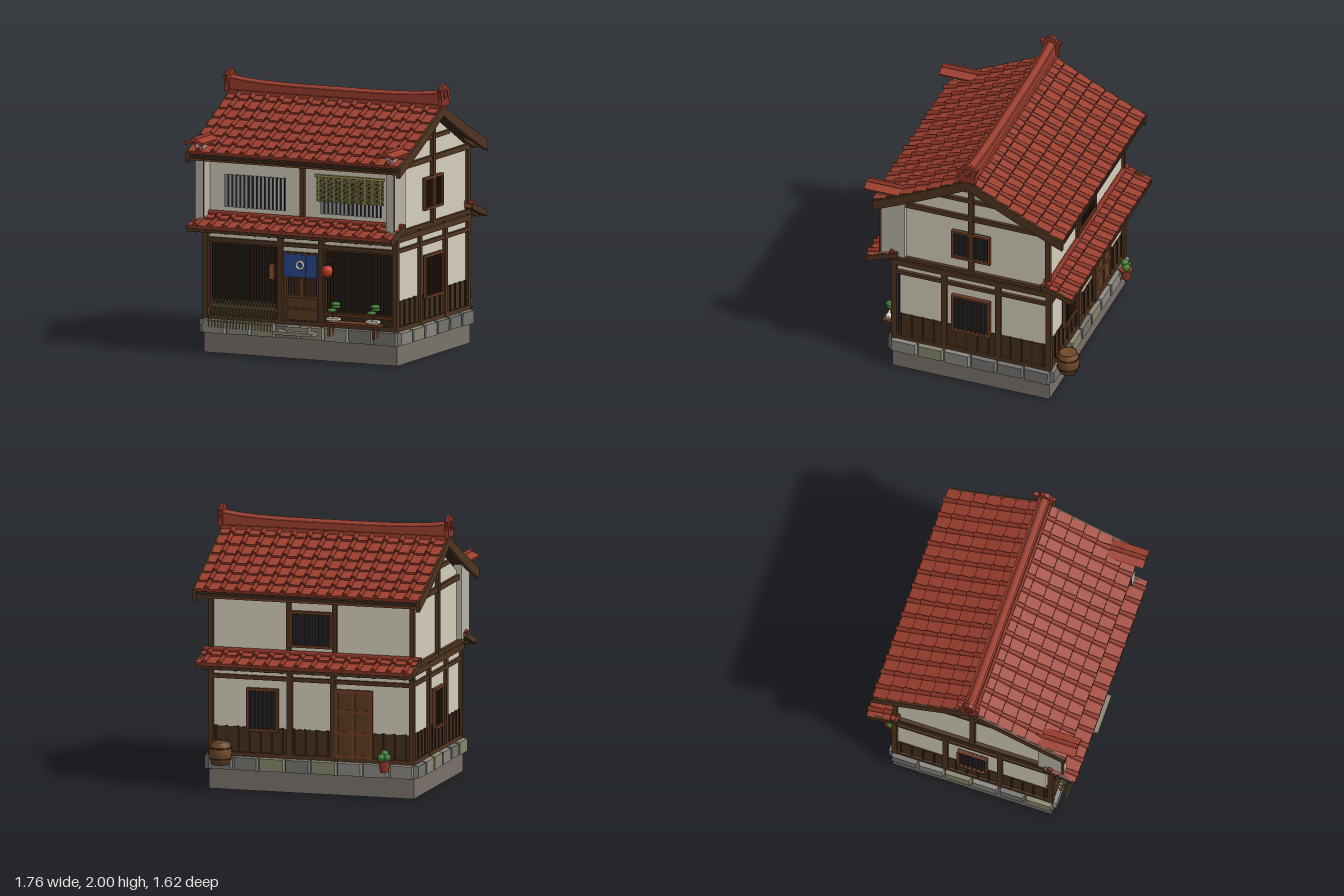
import * as THREE from 'three';
import { mergeGeometries } from 'three/addons/utils/BufferGeometryUtils.js';

const C = { tile: 0x9c3f2e, rib: 0x8a3426, wood: 0x4f3420, dark: 0x38261a, red: 0x6e3d24, cream: 0xd6cfbd, navy: 0x1c2734,
  base: 0x7a726b, bamboo: 0x8f8648, door: 0x5c3b22, white: 0xe2ddd0, green: 0x3f7a33 };
const V = (x, y, z) => new THREE.Vector3(x, y, z);

// One mesh merged from several geometries
function part(name, color, geos) {
  const g = mergeGeometries(geos.map(q => (q.index ? q.toNonIndexed() : q)));
  const m = new THREE.Mesh(g, new THREE.MeshStandardMaterial({ color, roughness: 0.85 }));
  m.name = name;
  return m;
}
// Box from its bounds
const B = (x0, x1, y0, y1, z0, z1) =>
  new THREE.BoxGeometry(x1 - x0, y1 - y0, z1 - z0).translate((x0 + x1) / 2, (y0 + y1) / 2, (z0 + z1) / 2);
// Lay a geometry whose long axis is z between two points
function span(geo, a, b) {
  const o = new THREE.Object3D();
  o.position.copy(a).add(b).multiplyScalar(0.5);
  o.lookAt(b);
  o.updateMatrix();
  return geo.applyMatrix4(o.matrix);
}
const plank = (a, b, w, h) => span(new THREE.BoxGeometry(w, h, a.distanceTo(b)), a, b);
const rod = (a, b, ra, rb = ra, n = 8) =>
  span(new THREE.CylinderGeometry(rb, ra, a.distanceTo(b), n).rotateX(Math.PI / 2), a, b);
const ball = (r, x, y, z, sy = 1) => new THREE.SphereGeometry(r, 12, 8).scale(1, sy, 1).translate(x, y, z);
// Extrude a (z, y) outline along x, centred on cx
function slab(pts, w, cx = 0) {
  const s = new THREE.Shape(pts.map(p => new THREE.Vector2(p[0], p[1])));
  return new THREE.ExtrudeGeometry(s, { depth: w, bevelEnabled: false }).translate(0, 0, -w / 2).rotateY(-Math.PI / 2).translate(cx, 0, 0);
}
const range = (n, f) => Array.from({ length: n }, (_, i) => f(i));
const both = geos => geos.concat(geos.map(g => g.clone().rotateY(Math.PI)));

// Stepped tile courses with round ribs, following f(t) -> [z, y]; both slopes
function tiles(group, name, halfW, f, rows) {
  const beds = [], ribs = [];
  for (let i = 0; i < rows; i++) {
    const [za, ya] = f(i / rows), [zb, yb] = f((i + 1) / rows);
    beds.push(plank(V(0, ya - 0.014, za), V(0, yb, zb), halfW * 2, 0.022));
    for (let k = 0; k < 14; k++) {
      const x = (k - 6.5) * 0.117;
      ribs.push(rod(V(x, ya + 0.003, za), V(x, yb + 0.015, zb + 0.006), 0.015, 0.02));
    }
  }
  group.add(part(name + 'Tiles', C.tile, both(beds)), part(name + 'Ribs', C.rib, both(ribs)));
}

// Framed window with vertical bars, facing +z, centred
function barWindow(name, w, h, n, bar = C.dark, frame = C.red) {
  const g = new THREE.Group(), x = w / 2, y = h / 2, t = 0.018;
  g.name = name;
  g.add(part('pane', C.navy, [B(-x, x, -y, y, 0, 0.008)]));
  g.add(part('bars', bar, range(n, i => {
    const c = -x + (w * (i + 0.5)) / n, b = Math.min(0.007, w / n / 4);
    return B(c - b, c + b, -y, y, 0.005, 0.02);
  })));
  if (frame) g.add(part('frame', frame, [B(-x, x, y - t, y, 0, 0.03), B(-x, x, -y, t - y, 0, 0.03),
    B(-x, t - x, -y, y, 0, 0.03), B(x - t, x, -y, y, 0, 0.03)]));
  return g;
}
function place(parent, obj, x, y, z, ry = 0) {
  obj.position.set(x, y, z);
  obj.rotation.y = ry;
  parent.add(obj);
}

export function createModel() {
  const m = new THREE.Group();
  m.name = 'townhouse';
  const H = Math.PI / 2;
  let seed = 7;
  const rnd = () => (seed = (seed * 16807) % 2147483647) / 2147483647;

  // Foundation and tapered facing stones
  m.add(part('foundation', C.base, [B(-0.78, 0.78, 0, 0.25, -0.61, 0.61)]));
  const shades = [0x8a8782, 0x74736f, 0x86866f], stones = [[], [], []];
  for (let s = 0; s < 4; s++) {
    const len = s % 2 ? 1.24 : 1.58, n = s % 2 ? 6 : 8, off = s % 2 ? 0.79 : 0.62;
    for (let i = 0; i < n; i++) {
      const w = len / n - 0.012 + rnd() * 0.014, h = 0.1 + rnd() * 0.015;
      const g = new THREE.BoxGeometry(w, h, 0.05), p = g.attributes.position;
      for (let k = 0; k < p.count; k++) if (p.getZ(k) > 0) p.setXY(k, p.getX(k) * 0.88, p.getY(k) * 0.85);
      g.computeVertexNormals();
      stones[Math.floor(rnd() * 3)].push(g.rotateZ((rnd() - 0.5) * 0.06)
        .translate(-len / 2 + (len * (i + 0.5)) / n, 0.197, off).rotateY(s * H));
    }
  }
  stones.forEach((g, i) => g.length && m.add(part('facingStones' + i, shades[i], g)));

  // Plaster storeys and gables
  m.add(part('lowerWalls', C.cream, [B(-0.76, 0.76, 0.25, 1, -0.59, 0.56), B(-0.76, 0.76, 0.83, 0.95, 0.5, 0.585)]));
  m.add(part('upperWalls', C.cream, [slab([[-0.59, 0.95], [0.59, 0.95], [0.59, 1.46], [0, 1.77], [-0.59, 1.46]], 1.52)]));

  // Posts and beams
  const fr = [];
  for (const sx of [-1, 1]) {
    for (const z of [-0.6, -0.21, 0.21, 0.6]) fr.push(B(sx * 0.765 - 0.02, sx * 0.765 + 0.02, 0.25, 0.98, z - 0.02, z + 0.02));
    const bar = (y, h, z, d = 0.018) => fr.push(B(sx * 0.765 - d, sx * 0.765 + d, y - h, y + h, -z, z));
    bar(0.265, 0.015, 0.61); bar(0.84, 0.015, 0.6); bar(0.925, 0.022, 0.62, 0.022); bar(0.972, 0.014, 0.62, 0.022);
    bar(1.45, 0.02, 0.6); bar(1.605, 0.015, 0.27); bar(1.715, 0.03, 0.08);
    fr.push(B(sx * 0.77 - 0.02, sx * 0.77 + 0.02, 0.97, 1.78, -0.02, 0.02));
    for (const z of [-0.595, 0.595]) fr.push(B(sx * 0.765 - 0.018, sx * 0.765 + 0.018, 0.97, 1.45, z - 0.018, z + 0.018));
  }
  for (const z of [-0.6, 0.6]) {
    for (const x of [-0.165, 0.165]) fr.push(B(x - 0.02, x + 0.02, 0.25, 0.94, z - 0.02, z + 0.02));
    for (const [y, h] of [[0.265, 0.015], [0.835, 0.015], [0.92, 0.022], [1.425, 0.015]])
      fr.push(B(-0.77, 0.77, y - h, y + h, z - 0.015, z + 0.015));
  }
  for (const x of [-0.175, 0.175]) fr.push(B(x - 0.018, x + 0.018, 1, 1.44, -0.61, -0.58));
  fr.push(B(-0.01, 0.03, 1, 1.43, 0.58, 0.61));
  m.add(part('timberFrame', C.wood, fr));

  // Boarded wainscot with battens on the sides and back
  const boards = [B(-0.767, 0.767, 0.27, 0.465, -0.597, 0.57)], battens = [];
  for (let i = 0; i < 14; i++) for (const s of [-1, 1])
    battens.push(B(s * 0.768 - 0.007, s * 0.768 + 0.007, 0.27, 0.47, -0.56 + i * 0.085, -0.548 + i * 0.085));
  for (let i = 0; i < 18; i++) battens.push(B(-0.72 + i * 0.085, -0.708 + i * 0.085, 0.27, 0.47, -0.607, -0.59));
  m.add(part('wainscot', 0x472f1d, boards), part('battens', C.dark, battens));

  // Main roof
  const main = t => [0.74 * t, 1.845 - 0.36 * t - 0.04 * t * (1 - t)];
  tiles(m, 'mainRoof', 0.85, main, 7);
  const ts = range(9, i => i / 8);
  const band = (f, top, low) => [...ts.map(f).map(p => [p[0], p[1] - top]), ...ts.map(f).reverse().map(p => [p[0], p[1] - low])];
  m.add(part('roofDeck', C.dark, both([slab(band(main, 0.02, 0.045), 1.68)])));
  m.add(part('bargeBoards', C.wood, both([slab(band(main, 0.0, 0.08), 0.03, 0.85), slab(band(main, 0.0, 0.08), 0.03, -0.85)])));
  const pent = t => [0.56 + 0.24 * t, 1.035 - 0.085 * t];
  const rafters = range(14, i => (i - 6.5) * 0.117).flatMap(x => [plank(V(x, 1.505, 0.56), V(x, 1.435, 0.72), 0.025, 0.025),
    plank(V(x, 0.985, 0.57), V(x, 0.915, 0.78), 0.022, 0.022)]);
  m.add(part('rafters', C.wood, both(rafters)));
  m.add(part('eaveBoards', C.red, both([B(-0.84, 0.84, 1.425, 1.46, 0.715, 0.73)])));

  // Upswept ridge with end ornaments
  const sweep = x => 1.9 + 0.035 * Math.pow(Math.abs(x) / 0.86, 4);
  const xs = range(17, i => -0.86 + i * 0.1075);
  const rs = new THREE.Shape([V(-0.86, 1.81, 0), V(0.86, 1.81, 0), ...xs.slice().reverse().map(x => V(x, sweep(x), 0))]);
  m.add(part('ridge', C.tile, [
    new THREE.ExtrudeGeometry(rs, { depth: 0.08, bevelEnabled: false }).translate(0, 0, -0.04),
    new THREE.TubeGeometry(new THREE.CatmullRomCurve3(xs.map(x => V(x, sweep(x) - 0.01, 0))), 32, 0.032, 8),
    B(-0.86, 0.86, 1.815, 1.85, -0.055, 0.055)]));
  const half = [[0.07, 1.84], [0.06, 1.89], [0.085, 1.96], [0.05, 1.955], [0.035, 1.985], [0, 2]];
  const outline = [...half, ...half.slice(0, 5).reverse().map(p => [-p[0], p[1]])];
  m.add(part('ridgeOrnaments', C.rib, [-0.862, 0.862].flatMap(x => [slab(outline, 0.03, x),
    new THREE.TorusGeometry(0.03, 0.007, 6, 16).rotateY(H).translate(x + Math.sign(x) * 0.014, 1.925, 0)])));

  // Pent roofs, front and back
  tiles(m, 'pentRoof', 0.82, pent, 2);
  m.add(part('pentDeck', C.wood, both([slab(band(pent, 0.018, 0.038), 1.62), slab(band(pent, -0.005, 0.04), 0.025, 0.815),
    slab(band(pent, -0.005, 0.04), 0.025, -0.815), B(-0.82, 0.82, 0.918, 0.942, 0.775, 0.795)])));
  m.add(part('pentTopTiles', C.rib, both([rod(V(-0.82, 1.03, 0.605), V(0.82, 1.03, 0.605), 0.02)])));

  // Projecting fire walls with little tiled caps
  for (const s of [-1, 1]) {
    const g = new THREE.Group(), x = s * 0.77;
    g.name = s > 0 ? 'leftFireWall' : 'rightFireWall';
    g.add(part('fin', 0xb9b5a8, [B(x - 0.03, x + 0.03, 0.99, 1.56, 0.51, 0.71)]));
    g.add(part('finEdge', C.wood, [B(x - 0.033, x + 0.033, 1, 1.45, 0.69, 0.708)]));
    g.add(part('cap', C.tile, [-1, 1].map(e => new THREE.BoxGeometry(0.08, 0.022, 0.34).rotateZ(-e * 0.4).translate(x + e * 0.034, 1.573, 0.64))));
    g.add(part('capRidge', C.rib, [rod(V(x, 1.592, 0.47), V(x, 1.592, 0.81), 0.018)]));
    m.add(g);
  }

  // Windows
  place(m, barWindow('leftUpperWindow', 0.3, 0.24, 9), 0.762, 1.2, 0, H);
  place(m, barWindow('leftLowerWindow', 0.3, 0.32, 9), 0.766, 0.59, 0, H);
  place(m, barWindow('rightLowerWindow', 0.23, 0.3, 7), -0.766, 0.58, 0, -H);
  place(m, barWindow('backUpperWindow', 0.33, 0.27, 10), 0, 1.21, -0.592, Math.PI);
  place(m, barWindow('backLowerWindow', 0.24, 0.32, 8), 0.37, 0.6, -0.597, Math.PI);
  place(m, barWindow('frontUpperWindowRight', 0.49, 0.24, 15, C.cream, null), -0.375, 1.2, 0.588);
  place(m, barWindow('frontUpperWindowLeft', 0.49, 0.24, 15, C.cream, null), 0.4, 1.2, 0.588);

  // Bamboo blind
  m.add(part('blind', C.bamboo, range(15, i => B(0.135, 0.675, 1.175 + i * 0.0125, 1.184 + i * 0.0125, 0.617, 0.625))));
  m.add(part('blindCords', 0xa59a55, [...range(9, i => B(0.15 + i * 0.062, 0.162 + i * 0.062, 1.17, 1.365, 0.623, 0.63)),
    B(0.125, 0.68, 1.355, 1.372, 0.61, 0.635)]));

  // Shopfront lattices with boarded foot
  for (const s of [-1, 1]) {
    place(m, barWindow('shopLattice', 0.57, 0.48, 24, C.dark, C.wood), s * 0.465, 0.585, 0.57);
    m.add(part('latticeFoot', C.dark, [B(s * 0.465 - 0.285, s * 0.465 + 0.285, 0.27, 0.345, 0.55, 0.59)]));
    m.add(part('latticeSill', C.red, [B(s * 0.465 - 0.285, s * 0.465 + 0.285, 0.335, 0.352, 0.56, 0.612)]));
  }

  // Entrance: sliding doors, lintel, split curtain
  for (const s of [-1, 1]) {
    place(m, barWindow('slidingDoorLattice', 0.14, 0.33, 6, C.red, C.door), s * 0.07, 0.61, 0.565 + s * 0.004);
    m.add(part('slidingDoorPanel', C.door, [B(s * 0.07 - 0.07, s * 0.07 + 0.07, 0.28, 0.45, 0.55, 0.58),
      B(s * 0.07 - 0.07, s * 0.07 + 0.07, 0.36, 0.375, 0.56, 0.59), B(s * 0.135 - 0.01, s * 0.135 + 0.01, 0.28, 0.78, 0.56, 0.59)]));
  }
  m.add(part('lintel', C.wood, [B(-0.15, 0.15, 0.765, 0.785, 0.57, 0.61)]));
  m.add(part('lintelPanel', C.cream, [B(-0.145, 0.145, 0.785, 0.825, 0.55, 0.59)]));
  m.add(part('curtain', 0x2c4a8c, [-0.09, 0, 0.09].map(x => B(x - 0.0435, x + 0.0435, 0.6, 0.77, 0.61, 0.618))));
  m.add(part('curtainRing', C.white, [new THREE.TorusGeometry(0.027, 0.008, 6, 20).translate(0, 0.692, 0.619)]));
  m.add(part('stepStones', 0x8d8478, [B(-0.15, 0.16, 0.19, 0.215, 0.63, 0.75), B(-0.09, 0.1, 0.215, 0.245, 0.63, 0.69)]));
  m.add(part('signBoard', 0x8a5a34, [B(-0.25, -0.215, 0.57, 0.685, 0.6, 0.618)]));

  // Curved bamboo guard
  const guard = range(21, i => {
    const x = -0.7 + i * 0.025;
    return new THREE.TubeGeometry(new THREE.QuadraticBezierCurve3(V(x, 0.4, 0.61), V(x, 0.37, 0.69), V(x, 0.2, 0.7)), 6, 0.005, 5);
  });
  for (const [y, z] of [[0.36, 0.65], [0.25, 0.695]]) guard.push(rod(V(-0.71, y, z), V(-0.19, y, z), 0.006));
  m.add(part('bambooGuard', 0x8a7a48, guard));

  // Hanging lantern
  m.add(part('lantern', 0xc23a28, [ball(0.042, 0.25, 0.675, 0.68, 1.1)]));
  m.add(part('lanternFittings', C.dark, [0.628, 0.722].map(y => new THREE.CylinderGeometry(0.02, 0.02, 0.012, 12).translate(0.25, y, 0.68))
    .concat([B(0.245, 0.255, 0.725, 0.755, 0.676, 0.684), B(0.243, 0.257, 0.745, 0.758, 0.59, 0.69), B(0.243, 0.257, 0.6, 0.758, 0.595, 0.61)])));

  // Bench with two small trees
  m.add(part('bench', C.red, [B(0.25, 0.68, 0.292, 0.308, 0.62, 0.73),
    ...[0.28, 0.64].flatMap(x => [0.635, 0.705].map(z => B(x - 0.008, x + 0.008, 0.2, 0.295, z, z + 0.015)))]));
  for (const x of [0.3, 0.62]) {
    m.add(part('treePot', C.white, [B(x - 0.045, x + 0.045, 0.316, 0.336, 0.65, 0.71), B(x - 0.03, x + 0.03, 0.306, 0.318, 0.66, 0.7)]));
    m.add(part('treeTrunk', C.wood, [rod(V(x - 0.01, 0.33, 0.68), V(x + 0.015, 0.42, 0.681), 0.009, 0.005)]));
    m.add(part('treeFoliage', C.green, [ball(0.036, x - 0.01, 0.39, 0.685, 0.4), ball(0.034, x + 0.02, 0.415, 0.675, 0.4), ball(0.036, x + 0.018, 0.438, 0.68, 0.45)]));
  }

  // Back door, downpipe post, barrel and planter
  m.add(part('backDoor', C.door, [B(-0.45, -0.2, 0.27, 0.77, -0.612, -0.58)]));
  m.add(part('backDoorTrim', C.red, [...[-0.455, -0.325, -0.195].map(x => B(x - 0.012, x + 0.012, 0.27, 0.78, -0.62, -0.6)),
    ...[0.29, 0.46, 0.62, 0.77].map(y => B(-0.46, -0.19, y - 0.012, y + 0.012, -0.62, -0.6))]));
  const bp = [[0, 0], [0.065, 0], [0.08, 0.05], [0.084, 0.085], [0.08, 0.12], [0.065, 0.17], [0.058, 0.16], [0, 0.16]].map(p => new THREE.Vector2(p[0], p[1]));
  m.add(part('barrel', 0x70492a, [new THREE.LatheGeometry(bp, 20).translate(0.66, 0.2, -0.71)]));
  m.add(part('barrelHoops', C.dark, [0.245, 0.325].map(y => new THREE.TorusGeometry(0.079, 0.005, 6, 20).rotateX(H).translate(0.66, y, -0.71))));
  m.add(part('planter', 0x8e3c2a, [new THREE.CylinderGeometry(0.045, 0.03, 0.08, 14).translate(-0.58, 0.24, -0.69),
    new THREE.CylinderGeometry(0.05, 0.05, 0.016, 14).translate(-0.58, 0.277, -0.69)]));
  m.add(part('planterLeaves', C.green, [ball(0.03, -0.6, 0.31, -0.69), ball(0.03, -0.56, 0.31, -0.7), ball(0.03, -0.58, 0.335, -0.68)]));
  return m;
}
